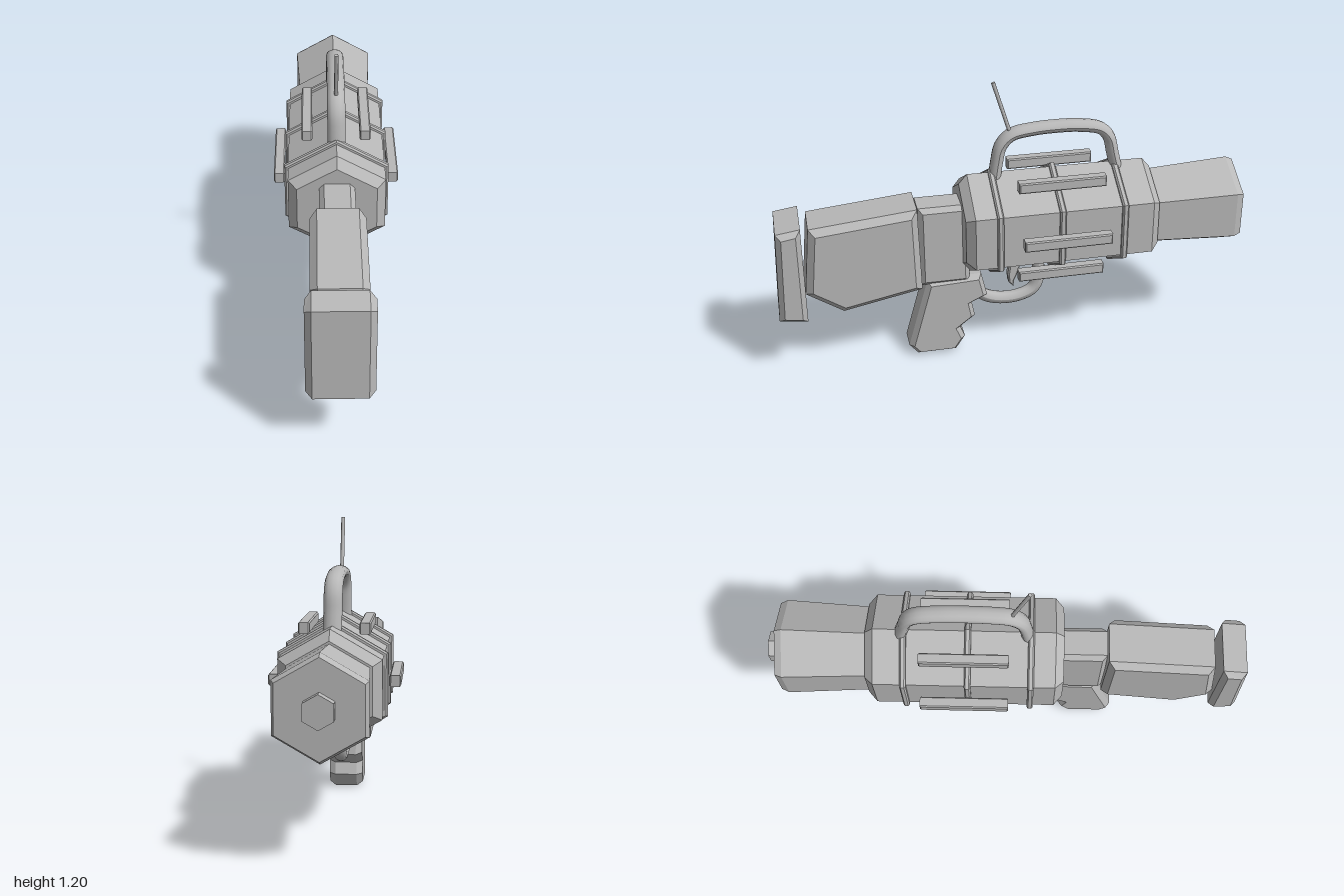
import * as THREE from 'three';

const grey = new THREE.MeshStandardMaterial({ color: 0xb8b8b8 });
const AXIS_Y = 0.587; // height of the barrel axis

// Faceted normals for the hard-edged parts
function faceted(geometry) {
  const g = geometry.index ? geometry.toNonIndexed() : geometry;
  g.computeVertexNormals();
  return g;
}

function part(name, geometry) {
  const mesh = new THREE.Mesh(geometry, grey);
  mesh.name = name;
  return mesh;
}

// Six-sided turned part along z, profile given as [radius, z] from back to front
function hexTurned(name, profile) {
  const g = new THREE.LatheGeometry(profile.map(([r, z]) => new THREE.Vector2(r, z)), 6);
  g.rotateX(Math.PI / 2);
  g.translate(0, AXIS_Y, 0);
  return part(name, faceted(g));
}

// Side outline given as [z, y], thickened across x with chamfered edges
function slab(name, outline, halfWidth, bevelX, bevel) {
  const shape = new THREE.Shape(outline.map(([z, y]) => new THREE.Vector2(z, y)));
  const depth = 2 * (halfWidth - bevelX);
  const g = new THREE.ExtrudeGeometry(shape, {
    depth, bevelEnabled: true, bevelThickness: bevelX, bevelSize: bevel, bevelOffset: -bevel, bevelSegments: 1,
  });
  g.translate(0, 0, -depth / 2);
  g.rotateY(-Math.PI / 2);
  return part(name, faceted(g));
}

// Smooth bent bar through [z, y] points, wider across x than it is thick
function bentBar(name, points, radius, widen) {
  const curve = new THREE.CatmullRomCurve3(points.map(([z, y]) => new THREE.Vector3(0, y, z)));
  const g = new THREE.TubeGeometry(curve, 40, radius, 12, false);
  g.scale(widen, 1, 1);
  g.computeVertexNormals();
  return part(name, g);
}

export function createModel() {
  const model = new THREE.Group();
  model.name = 'blaster';

  // Hexagonal housing, flared barrel and muzzle tip
  model.add(hexTurned('body', [[0, -0.585], [0.187, -0.585], [0.228, -0.55], [0.228, 0.195], [0.187, 0.23], [0, 0.23]]));
  model.add(hexTurned('barrel', [[0, -0.955], [0.183, -0.955], [0.197, -0.925], [0.176, -0.57], [0, -0.57]]));
  model.add(hexTurned('muzzleTip', [[0, -1], [0.063, -1], [0.063, -0.94], [0, -0.94]]));

  // Bands around the body
  for (const z of [0.095, -0.163, -0.426]) {
    model.add(hexTurned('band', [
      [0.22, z - 0.013], [0.238, z - 0.013], [0.246, z - 0.007],
      [0.246, z + 0.007], [0.238, z + 0.013], [0.22, z + 0.013],
    ]));
  }

  // Six side rails
  for (const side of [-1, 1]) {
    for (const [x, y] of [[0.12, 0.793], [0.238, 0.588], [0.12, 0.383]]) {
      const rail = slab('rail', [
        [-0.36, y - 0.0225], [0.005, y - 0.0225], [0.005, y + 0.0225], [-0.36, y + 0.0225],
      ], 0.0225, 0.005, 0.005);
      rail.position.x = side * x;
      model.add(rail);
    }
  }

  // Neck, shoulder stock and butt plate
  model.add(slab('neck', [[0.2, 0.345], [0.41, 0.345], [0.41, 0.705], [0.2, 0.705]], 0.072, 0.02, 0.02));
  model.add(slab('stock', [[0.405, 0.345], [0.735, 0.28], [0.885, 0.38], [0.855, 0.675], [0.415, 0.717]], 0.11, 0.028, 0.028));
  model.add(slab('buttPlate', [[0.885, 0.263], [1, 0.278], [0.985, 0.678], [0.885, 0.692]], 0.13, 0.025, 0.022));

  // Grip with finger notches
  model.add(slab('grip', [
    [0.38, 0.36], [0.467, 0.05], [0.43, 0.005], [0.265, 0.005], [0.225, 0.065], [0.245, 0.115],
    [0.18, 0.165], [0.192, 0.23], [0.125, 0.262], [0.15, 0.37],
  ], 0.073, 0.026, 0.018));

  // Trigger and its guard
  model.add(slab('trigger', [
    [-0.03, 0.38], [-0.015, 0.33], [0, 0.295], [0.003, 0.265], [0.024, 0.29], [0.028, 0.325], [0.02, 0.38],
  ], 0.02, 0.006, 0.006));
  model.add(bentBar('triggerGuard', [
    [-0.105, 0.39], [-0.11, 0.3], [-0.085, 0.24], [-0.02, 0.211], [0.06, 0.209], [0.125, 0.23], [0.17, 0.27],
  ], 0.027, 1));

  // Carry handle and aerial
  model.add(bentBar('carryHandle', [
    [0.08, 0.79], [0.07, 0.86], [0.053, 0.93], [0.01, 0.974], [-0.08, 0.991], [-0.17, 0.995],
    [-0.27, 0.991], [-0.365, 0.97], [-0.402, 0.93], [-0.42, 0.86], [-0.437, 0.79],
  ], 0.026, 1.4));
  const aerial = part('aerial', new THREE.CylinderGeometry(0.008, 0.008, 0.22, 8));
  aerial.position.set(0, 1.1, 0.05);
  aerial.rotation.x = 0.3;
  model.add(aerial);

  return model;
}
